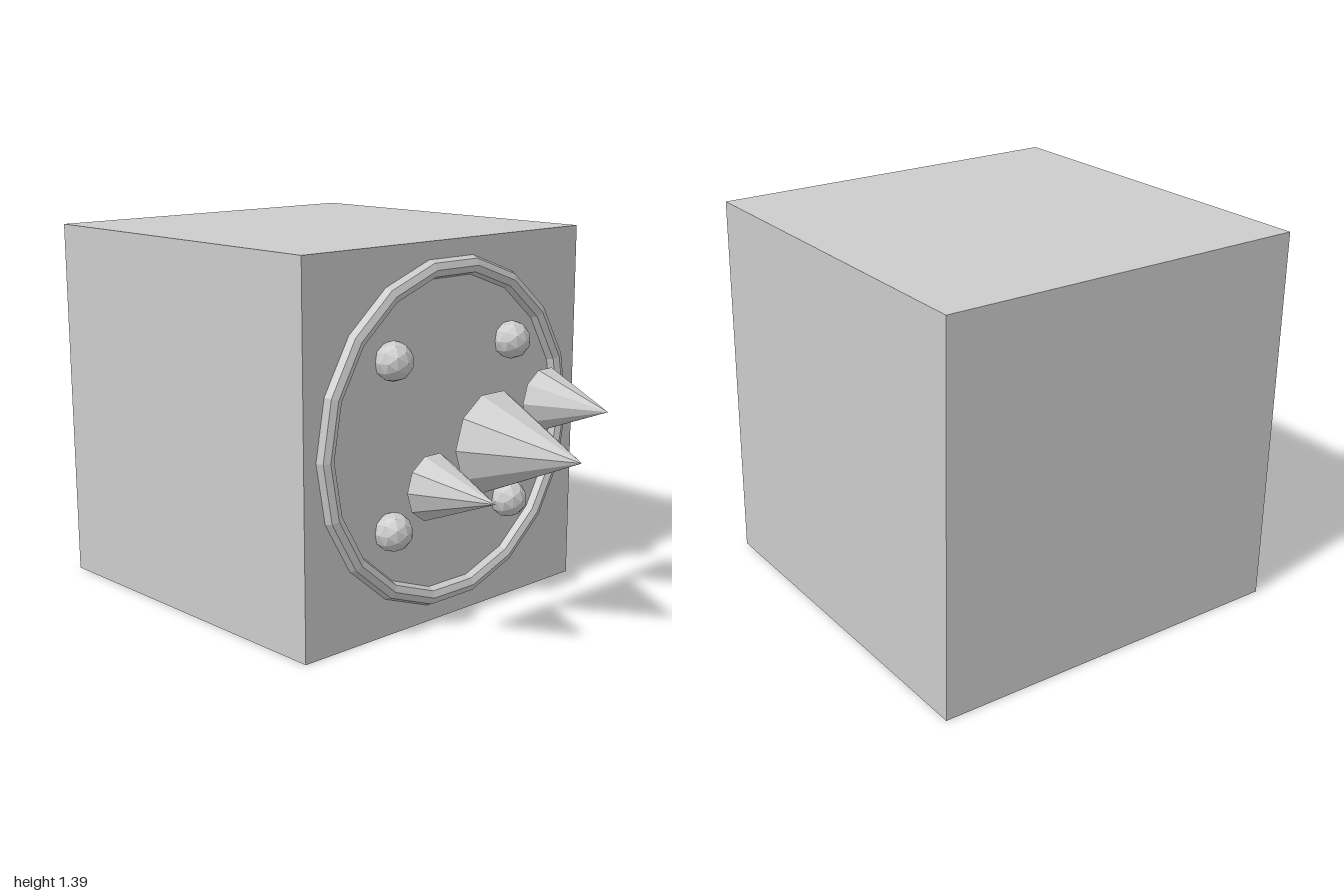
import * as THREE from 'three';

const S = 1.395;            // cube edge
const FACE_Z = -1 + S;      // front face of the cube
const MID_Y = S / 2;

export function createModel() {
  const model = new THREE.Group();
  const material = new THREE.MeshStandardMaterial({ color: 0xcccccc, flatShading: true });

  const add = (name, geometry, x, y, z) => {
    const mesh = new THREE.Mesh(geometry, material);
    mesh.name = name;
    mesh.position.set(x, y, z);
    model.add(mesh);
  };

  // Main block
  add('block', new THREE.BoxGeometry(S, S, S), 0, MID_Y, FACE_Z - S / 2);

  // Ring half sunk into the front face
  add('ring', new THREE.TorusGeometry(0.608, 0.035, 8, 18), 0, MID_Y, FACE_Z);

  // Four studs inside the ring
  for (const sx of [-1, 1]) {
    for (const sy of [-1, 1]) {
      add('stud', new THREE.IcosahedronGeometry(0.072, 1), sx * 0.305, MID_Y + sy * 0.305, 0.417);
    }
  }

  // Ten-sided spikes floating ahead of the face, pointing forward
  const addSpike = (name, radius, x, y, baseZ, tipZ) => {
    const length = tipZ - baseZ;
    const cone = new THREE.ConeGeometry(radius, length, 10);
    cone.rotateY(Math.PI / 2).rotateX(Math.PI / 2);
    add(name, cone, x, y, baseZ + length / 2);
  };
  addSpike('centreSpike', 0.186, 0, MID_Y, 0.6, 1);
  addSpike('leftSpike', 0.119, 0.292, MID_Y + 0.108, 0.592, 0.88);
  addSpike('rightSpike', 0.119, -0.292, MID_Y - 0.108, 0.592, 0.88);

  return model;
}
